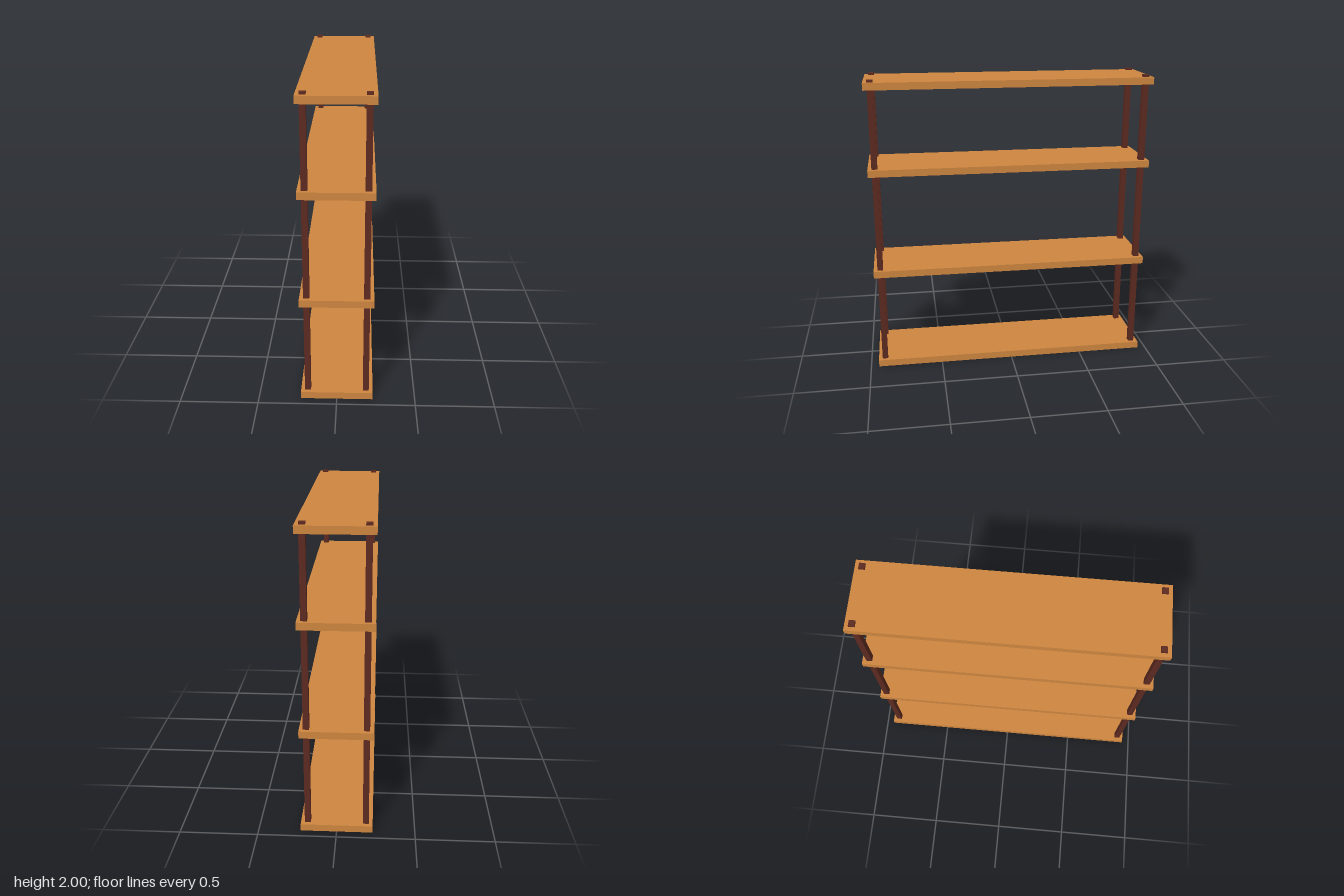
import * as THREE from 'three';

export function createModel() {
  const group = new THREE.Group();
  group.name = 'shelvingUnit';
  const wood = new THREE.MeshStandardMaterial({ color: 0xcd853f });
  const darkWood = new THREE.MeshStandardMaterial({ color: 0x5c2a20 });

  function addBox(name, size, position, material) {
    const mesh = new THREE.Mesh(new THREE.BoxGeometry(...size), material);
    mesh.name = name;
    mesh.position.set(...position);
    group.add(mesh);
  }

  // Four long shelves, given by the height of their middles
  const thickness = 0.047;
  [thickness / 2, 0.696, 1.401, 1.963].forEach((y, i) =>
    addBox(`shelf${i + 1}`, [0.46, thickness, 1.89], [0, y, 0], wood));

  // Square corner posts, rising from inside the bottom shelf to just above the top one
  const postBase = 0.024;
  const postHeight = 2 - postBase;
  for (const [side, x] of [['Left', 0.186], ['Right', -0.186]]) {
    for (const [end, z] of [['front', 0.9], ['back', -0.9]]) {
      addBox(`${end}${side}Post`, [0.038, postHeight, 0.038],
        [x, postBase + postHeight / 2, z], darkWood);
    }
  }
  return group;
}
